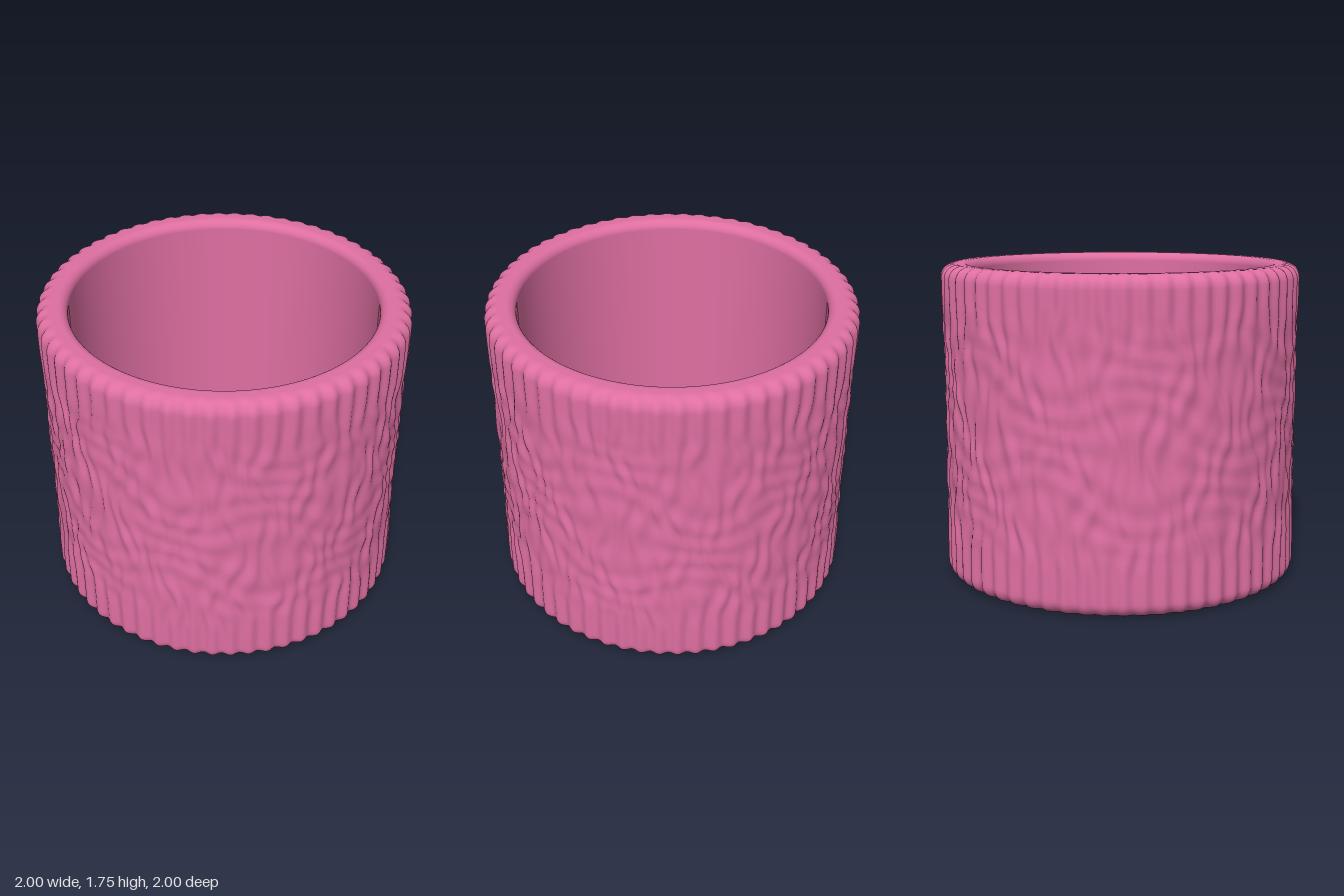
import * as THREE from 'three';
import { mergeVertices } from 'three/addons/utils/BufferGeometryUtils.js';

const HEIGHT = 1.75, INNER = 0.83, OUTER = 0.99, FLUTES = 60;

// Quarter-round corner of the wall section, from angle a0 to a0 + 90 degrees
function corner(points, x, y, r, a0, steps = 8) {
  for (let i = 0; i <= steps; i++) {
    const a = a0 + (i / steps) * Math.PI / 2;
    points.push(new THREE.Vector2(x + r * Math.cos(a), y + r * Math.sin(a)));
  }
}

// Closed section of the wall: inside bottom, outside, inside top
function wallProfile() {
  const p = [], ri = 0.05, ro = 0.075, rows = 56;
  corner(p, INNER + ri, ri, ri, Math.PI);
  corner(p, OUTER - ro, ro, ro, -Math.PI / 2);
  for (let i = 1; i < rows; i++) {
    p.push(new THREE.Vector2(OUTER, THREE.MathUtils.lerp(ro, HEIGHT - ro, i / rows)));
  }
  corner(p, OUTER - ro, HEIGHT - ro, ro, 0);
  corner(p, INNER + ri, HEIGHT - ri, ri, Math.PI / 2);
  p.push(p[0].clone());
  return p;
}

// Vertical flutes that wander into a hammered texture around the middle
function relief(a, y) {
  const smooth = THREE.MathUtils.smoothstep;
  const mid = smooth(y, 0.2, 0.5) * (1 - smooth(y, 1.3, 1.6));
  const wander = 1.7 * Math.sin(7 * a + 5.3 * y) + 1.5 * Math.sin(13 * a - 9.1 * y + 1)
    + 1.2 * Math.sin(19 * a + 14 * y + 2.4);
  const flute = Math.cos(FLUTES * a + mid * wander);
  const dents = Math.sin(23 * a + 17 * y + 2 * Math.sin(5 * a - 7 * y))
    * Math.sin(17 * a - 21 * y + 2 * Math.sin(8 * a + 6 * y));
  return 0.01 * flute * (1 - 0.5 * mid) + 0.006 * mid * (dents - 0.4);
}

export function createModel() {
  const pink = new THREE.MeshStandardMaterial({ color: 0xde6fa1 });
  pink.name = 'pink';

  const lathe = new THREE.LatheGeometry(wallProfile(), 480);
  lathe.deleteAttribute('uv');
  lathe.deleteAttribute('normal');
  const geometry = mergeVertices(lathe, 1e-4);

  // Relief fades to nothing toward the smooth bore
  const pos = geometry.attributes.position;
  for (let i = 0; i < pos.count; i++) {
    const x = pos.getX(i), y = pos.getY(i), z = pos.getZ(i);
    const r = Math.hypot(x, z);
    const fade = THREE.MathUtils.smoothstep(r, INNER + 0.04, OUTER - 0.01);
    const k = (r + fade * relief(Math.atan2(x, z), y)) / r;
    pos.setXYZ(i, x * k, y, z * k);
  }
  geometry.computeVertexNormals();

  const ring = new THREE.Mesh(geometry, pink);
  ring.name = 'hammeredRing';
  const group = new THREE.Group();
  group.name = 'ring';
  group.add(ring);
  return group;
}
